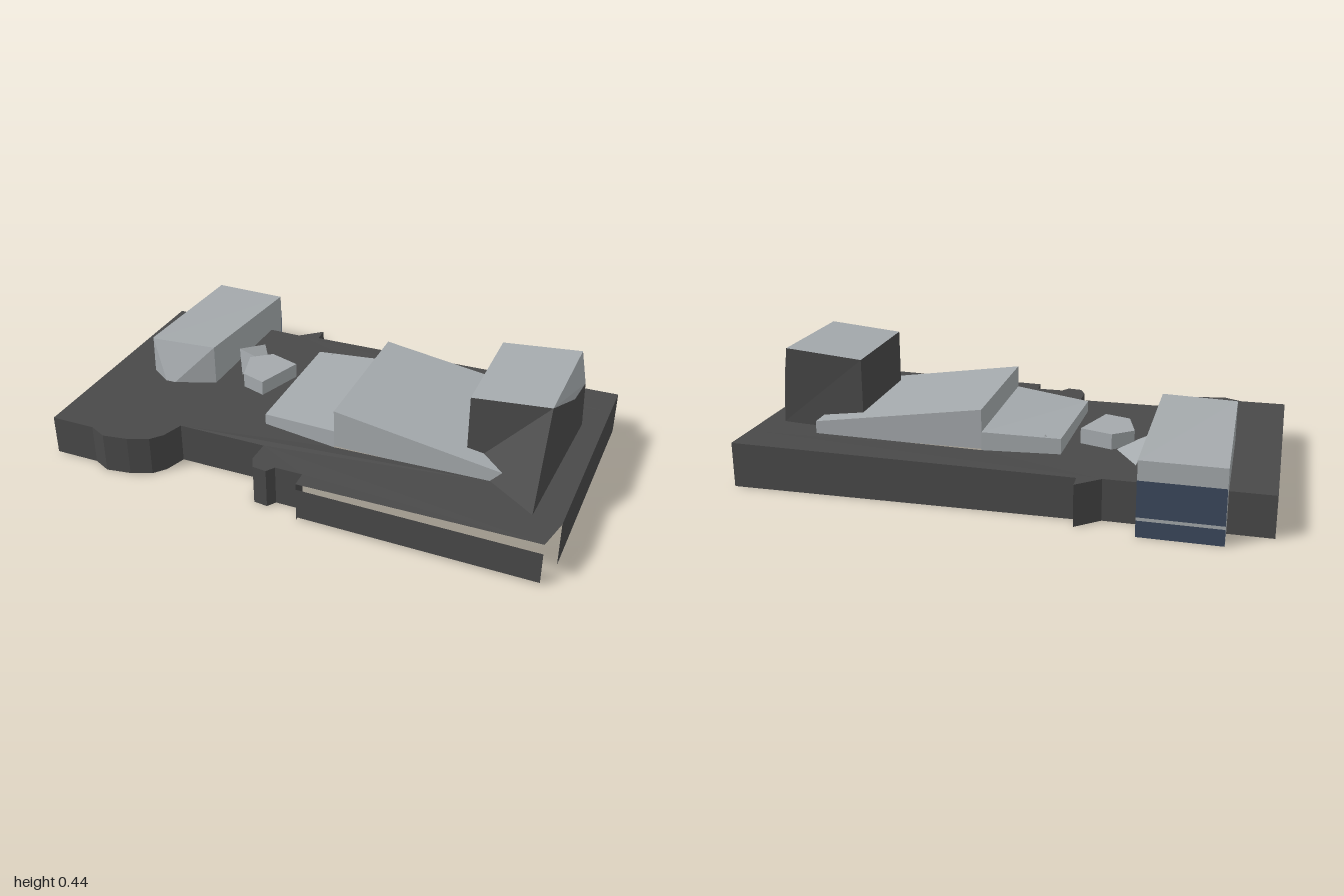
import * as THREE from 'three';

const mat = (name, color) => {
  const m = new THREE.MeshStandardMaterial({ color, side: THREE.DoubleSide, flatShading: true });
  m.name = name;
  return m;
};

// Flat-shaded surface from polygons of [x, y, z] corners
function surface(name, material, polygons) {
  const p = [];
  for (const f of polygons)
    for (let i = 1; i < f.length - 1; i++) p.push(...f[0], ...f[i], ...f[i + 1]);
  const g = new THREE.BufferGeometry();
  g.setAttribute('position', new THREE.Float32BufferAttribute(p, 3));
  g.computeVertexNormals();
  const mesh = new THREE.Mesh(g, material);
  mesh.name = name;
  return mesh;
}

// Hollow block, open below, between two matching rings (anticlockwise from above)
function block(name, material, bottom, top) {
  const sides = bottom.map((b, i) => {
    const j = (i + 1) % bottom.length;
    return [b, bottom[j], top[j], top[i]];
  });
  return surface(name, material, [...sides, top]);
}

const at = (ring, y) => ring.map(([x, z]) => [x, y, z]);

export function createModel() {
  const group = new THREE.Group();
  group.name = 'building';
  const dark = mat('dark grey', 0x494949);
  const light = mat('light grey', 0xa4a9ac);
  const blue = mat('slate blue', 0x3b485c);

  // Plan of the low base, with the openings under the raised roofs
  const plan = [
    [0.15, -1], [-0.72, -0.725], [-0.67, -0.57], [-0.68, -0.5], [-0.64, -0.42], [-0.59, -0.36],
    [-0.54, -0.34], [-0.46, -0.34], [-0.36, -0.03], [-0.44, -0.005], [-0.475, 0.03], [-0.465, 0.08],
    [-0.43, 0.09], [-0.4, 0.185], [-0.455, 0.205], [-0.21, 0.995], [-0.09, 0.985], [0.59, 0.782],
    [0.715, 0.745], [0.345, -0.4], [0.4, -0.42], [0.31, -0.475], [0.275, -0.59],
  ];
  const hole = [[-0.255, -0.12], [-0.21, 0.16], [-0.03, 0.73], [0.48, 0.57], [0.295, -0.005], [0.19, -0.255]];
  const roofY = (z) => 0.145 + 0.015 * THREE.MathUtils.clamp((z - 0.2) / 0.5, 0, 1);
  const onRoof = ([x, z]) => [x, roofY(z), z];

  // Base roof
  const contour = plan.map(([x, z]) => new THREE.Vector2(x, -z));
  const opening = hole.map(([x, z]) => new THREE.Vector2(x, -z)).reverse();
  const points = [...contour, ...opening];
  const roofFaces = THREE.ShapeUtils.triangulateShape(contour, [opening])
    .map((f) => f.map((i) => onRoof([points[i].x, -points[i].y])));
  group.add(surface('baseRoof', dark, roofFaces));

  // Base walls: two stop short of the roof, and one corner is left open
  const lowWalls = [0, 14], openCorner = 15;
  const walls = [];
  plan.forEach((a, i) => {
    if (i === openCorner) return;
    const b = plan[(i + 1) % plan.length];
    const low = lowWalls.includes(i);
    const y0 = low ? 0.01 : 0;
    const top = ([x, z]) => [x, low ? 0.123 : roofY(z), z];
    walls.push([[a[0], y0, a[1]], [b[0], y0, b[1]], top(b), top(a)]);
  });
  group.add(surface('baseWalls', dark, walls));

  // Main hall with a roof falling to the front
  const hall = [[-0.21, 0.16], [-0.03, 0.73], [0.48, 0.57], [0.295, -0.005]];
  group.add(block('mainHall', light, at(hall, 0.15),
    hall.map(([x, z], i) => [x, [0.29, 0.2, 0.2, 0.29][i], z])));

  // Lower hall behind it
  const rear = [[-0.255, -0.12], [-0.21, 0.16], [0.295, -0.005], [0.19, -0.255]];
  group.add(block('rearHall', light, at(rear, 0.145),
    rear.map(([x, z], i) => [x, [0.185, 0.21, 0.21, 0.2][i], z])));
  group.add(surface('rearHallFin', light, [
    [[0.19, 0.145, -0.255], [0.2, 0.145, -0.17], [0.2, 0.21, -0.2]],
  ]));

  // Tower: light top and chamfer, dark sides and sloping front
  const a = [-0.01, 0.415, 0.57], b = [0.07, 0.44, 0.825], c = [0.455, 0.44, 0.71], d = [0.37, 0.415, 0.445];
  const e = [0.32, 0.335, 0.77], f = [0.435, 0.335, 0.745];
  const foot = [-0.11, 0.16, 0.89], footR = [0.45, 0.16, 0.745];
  const baseA = [-0.01, 0.15, 0.57], baseD = [0.37, 0.15, 0.445];
  group.add(surface('towerTop', light, [[a, b, c, d], [b, e, f, c]]));
  group.add(surface('towerSides', dark, [
    [foot, footR, e], [foot, e, b], [footR, f, e],
    [baseA, foot, b, a], [baseD, baseA, a, d],
    [footR, baseD, d, c], [footR, c, f],
  ]));

  // Small pavilion and its sloping link
  const pavilion = [[-0.015, -0.43], [-0.12, -0.36], [-0.12, -0.265], [0.06, -0.26], [0.06, -0.38]];
  group.add(block('pavilion', light, at(pavilion, 0.14), at(pavilion, 0.2)));
  group.add(surface('linkRoof', light, [
    [[-0.07, 0.15, -0.42], [0.06, 0.15, -0.4], [0.0, 0.205, -0.5]],
    [[0.06, 0.15, -0.4], [0.16, 0.15, -0.52], [0.0, 0.205, -0.5]],
  ]));

  // Back block, overhanging the side and reaching the ground there
  group.add(block('backBlock', light,
    [[-0.285, 0.12, -0.6], [-0.17, 0.13, -0.46], [0.36, 0, -0.62], [0.28, 0, -0.885], [-0.255, 0.12, -0.705]],
    [[-0.255, 0.285, -0.7], [-0.17, 0.295, -0.46], [0.36, 0.255, -0.62], [0.28, 0.255, -0.885], [-0.25, 0.285, -0.707]]));

  // Blue bands on the end of the back block
  const band = (y0, y1) => [[0.364, y0, -0.621], [0.284, y0, -0.886], [0.284, y1, -0.886], [0.364, y1, -0.621]];
  group.add(surface('endBands', blue, [band(0, 0.056), band(0.067, 0.19)]));

  return group;
}
